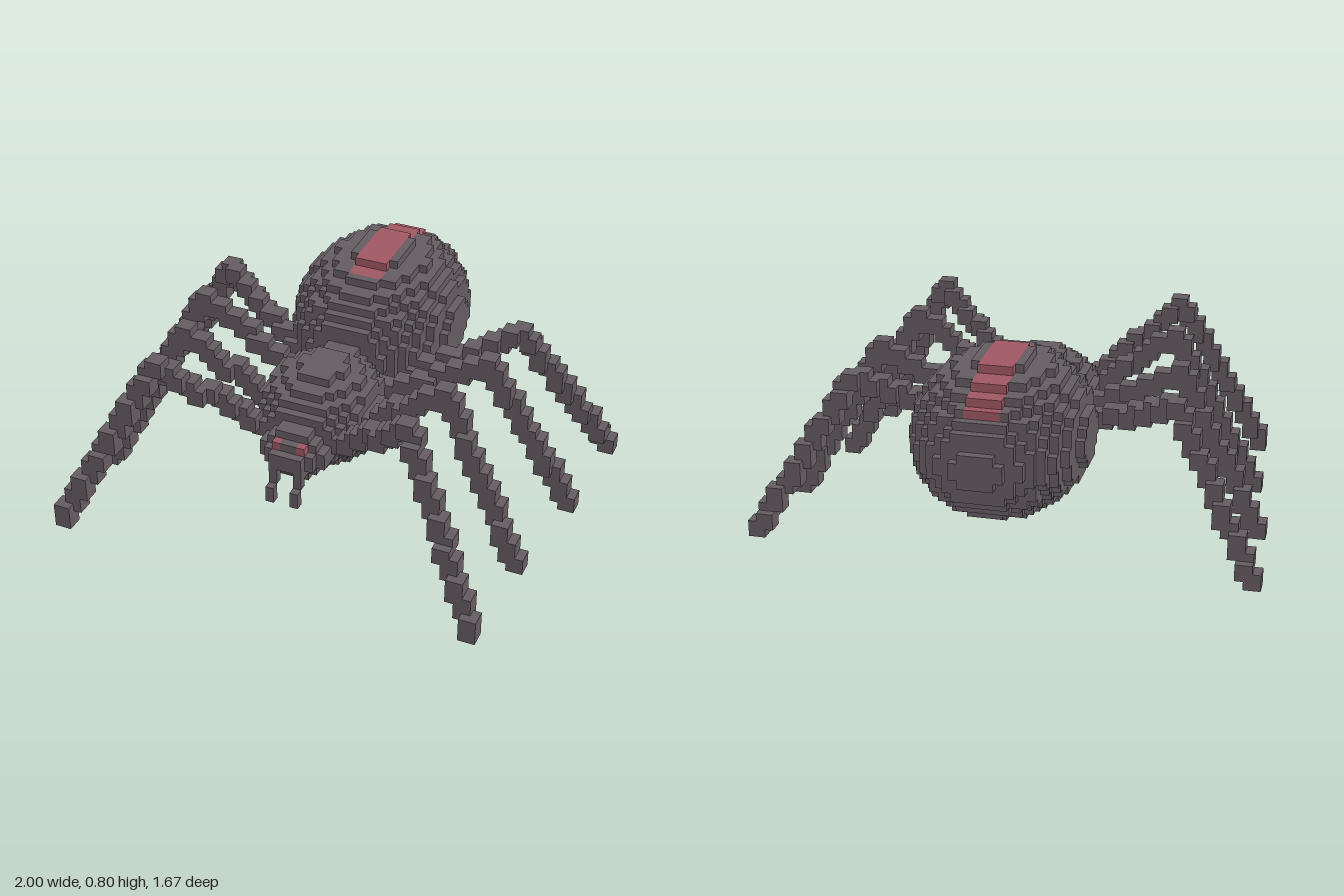
import * as THREE from 'three';
import { mergeGeometries } from 'three/addons/utils/BufferGeometryUtils.js';

const V = 1 / 30; // edge of one cube
const key = (x, y, z) => `${x},${y},${z}`;

// One square for each side of a cube, with its outward direction
const SIDES = [
  [1, 0, 0, 'Y', Math.PI / 2], [-1, 0, 0, 'Y', -Math.PI / 2],
  [0, 1, 0, 'X', -Math.PI / 2], [0, -1, 0, 'X', Math.PI / 2],
  [0, 0, 1, 'Y', 0], [0, 0, -1, 'Y', Math.PI],
].map(([x, y, z, axis, angle]) => {
  const square = new THREE.PlaneGeometry(V, V);
  square['rotate' + axis](angle);
  square.translate(x * V / 2, y * V / 2, z * V / 2);
  return { x, y, z, square };
});

export function createModel() {
  const bodyGrey = new THREE.MeshStandardMaterial({ color: 0x645c62 });
  bodyGrey.name = 'bodyGrey';
  const markingRed = new THREE.MeshStandardMaterial({ color: 0xa05763 });
  markingRed.name = 'markingRed';

  const cells = new Map(); // cube position -> part name

  const put = (part, x, y, z) => {
    const k = key(x, y, z);
    if (!cells.has(k)) cells.set(k, part);
  };

  // Fill every cube whose centre lies inside an ellipsoid
  const ellipsoid = (part, [cx, cy, cz], [rx, ry, rz]) => {
    for (let x = cx - rx; x < cx + rx; x++)
      for (let y = cy - ry; y < cy + ry; y++)
        for (let z = cz - rz; z < cz + rz; z++) {
          const a = (x + 0.5 - cx) / rx, b = (y + 0.5 - cy) / ry, c = (z + 0.5 - cz) / rz;
          if (a * a + b * b + c * c <= 1) put(part, x, y, z);
        }
  };

  // Sweep a 2 x 2 x 2 block along a line, on one side of the body
  const limb = (part, from, to, side) => {
    const a = new THREE.Vector3(...from), b = new THREE.Vector3(...to);
    const d = b.clone().sub(a);
    const steps = Math.max(Math.abs(d.x), Math.abs(d.y), Math.abs(d.z));
    for (let i = 0; i <= steps; i++) {
      const p = a.clone().lerp(b, i / steps).round();
      for (let n = 0; n < 8; n++) {
        const x = p.x - (n & 1), y = p.y - ((n >> 1) & 1), z = p.z - (n >> 2);
        put(part, side > 0 ? x : -1 - x, y, z);
      }
    }
  };

  // Body
  ellipsoid('abdomen', [0, 15, -12], [10, 9, 13]);
  ellipsoid('thorax', [0, 12, 6], [7, 6, 8]);
  ellipsoid('head', [0, 11, 13], [4, 3, 4]);

  // Red stripe: the topmost cubes along the back
  for (let x = -2; x < 2; x++)
    for (let z = -22; z < -6; z++) {
      let y = 24;
      while (!cells.has(key(x, y, z))) y--;
      cells.set(key(x, y, z), 'backStripe');
    }

  // Eyes and fangs
  for (const x of [1, -2]) {
    cells.set(key(x, 12, 15), 'eyes');
    for (const [y, z] of [[9, 16], [8, 16], [7, 17], [6, 17]]) put('fangs', x, y, z);
  }

  // Legs: hip, knee and foot, front pair to rear pair
  const legs = [
    ['frontLeg', [5, 12, 12], [15, 21, 18], [25, 1, 24]],
    ['secondLeg', [5, 12, 8], [16, 20, 9], [26, 1, 11]],
    ['thirdLeg', [5, 12, 1], [18, 19, 0], [28, 1, -2]],
    ['rearLeg', [5, 12, -2], [19, 18, -9], [29, 1, -15]],
  ];
  for (const [name, hip, knee, foot] of legs)
    for (const [suffix, side] of [['Left', 1], ['Right', -1]]) {
      limb(name + suffix, hip, knee, side);
      limb(name + suffix, knee, foot, side);
    }

  // Keep only the outer squares of each part
  const faces = {};
  for (const [k, part] of cells) {
    const [x, y, z] = k.split(',').map(Number);
    for (const s of SIDES) {
      if (cells.has(key(x + s.x, y + s.y, z + s.z))) continue;
      (faces[part] ??= []).push(
        s.square.clone().translate((x + 0.5) * V, (y + 0.5) * V, (z + 0.5) * V));
    }
  }

  const spider = new THREE.Group();
  spider.name = 'spider';
  for (const [part, list] of Object.entries(faces)) {
    const red = part === 'backStripe' || part === 'eyes';
    const mesh = new THREE.Mesh(mergeGeometries(list), red ? markingRed : bodyGrey);
    mesh.name = part;
    spider.add(mesh);
  }
  return spider;
}
